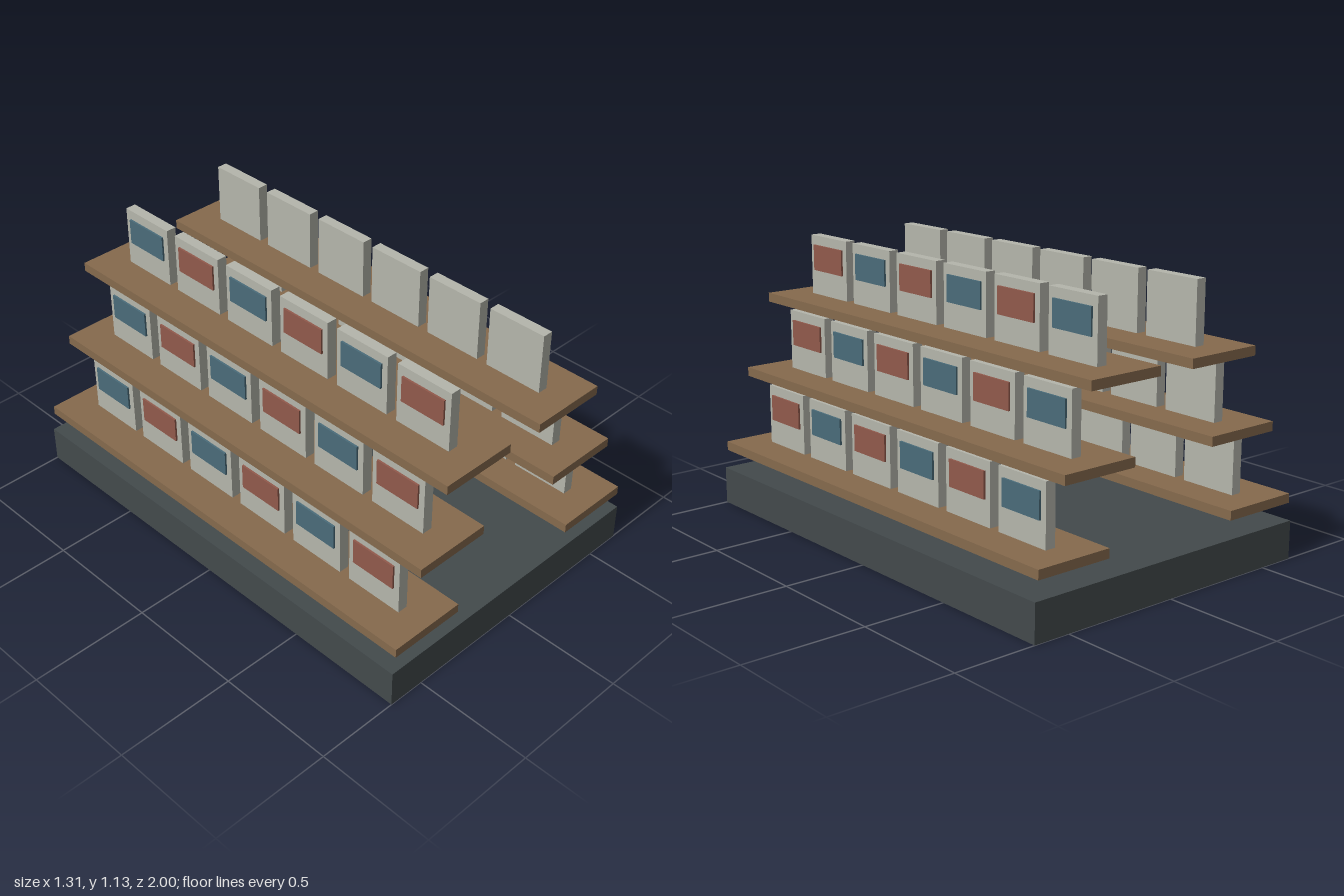
import * as THREE from 'three';

export function createModel() {
  const model = new THREE.Group();
  model.name = 'tieredDisplay';

  const mat = (color) => new THREE.MeshStandardMaterial({ color });
  const dark = mat(0x434a4c);
  const wood = mat(0x866a4d);
  const pale = mat(0xb5b6ac);
  const red = mat(0x925a4c);
  const blue = mat(0x4a6c7a);

  function box(parent, name, material, size, position) {
    const mesh = new THREE.Mesh(new THREE.BoxGeometry(...size), material);
    mesh.name = name;
    mesh.position.set(...position);
    parent.add(mesh);
  }

  // Plinth
  box(model, 'base', dark, [1.31, 0.155, 2], [0, 0.0775, 0]);

  // Two mirrored banks of three shelves, stepping inward as they rise
  for (const side of [1, -1]) {
    const bank = new THREE.Group();
    bank.name = side > 0 ? 'leftBank' : 'rightBank';
    model.add(bank);

    for (let tier = 0; tier < 3; tier++) {
      const x = 0.476 - tier * 0.1155;
      const y = 0.23 + tier * 0.3075;
      box(bank, 'shelf', wood, [0.33, 0.038, 2], [side * x, y + 0.019, 0]);

      // Upright cases, each with a coloured panel on the outer face
      for (let i = 0; i < 6; i++) {
        const z = 0.75 - i * 0.3;
        box(bank, 'case', pale, [0.044, 0.25, 0.252], [side * x, y + 0.163, z]);
        box(bank, 'panel', i % 2 ? blue : red, [0.008, 0.107, 0.2],
          [side * (x + 0.026), y + 0.195, z]);
      }
    }
  }
  return model;
}
